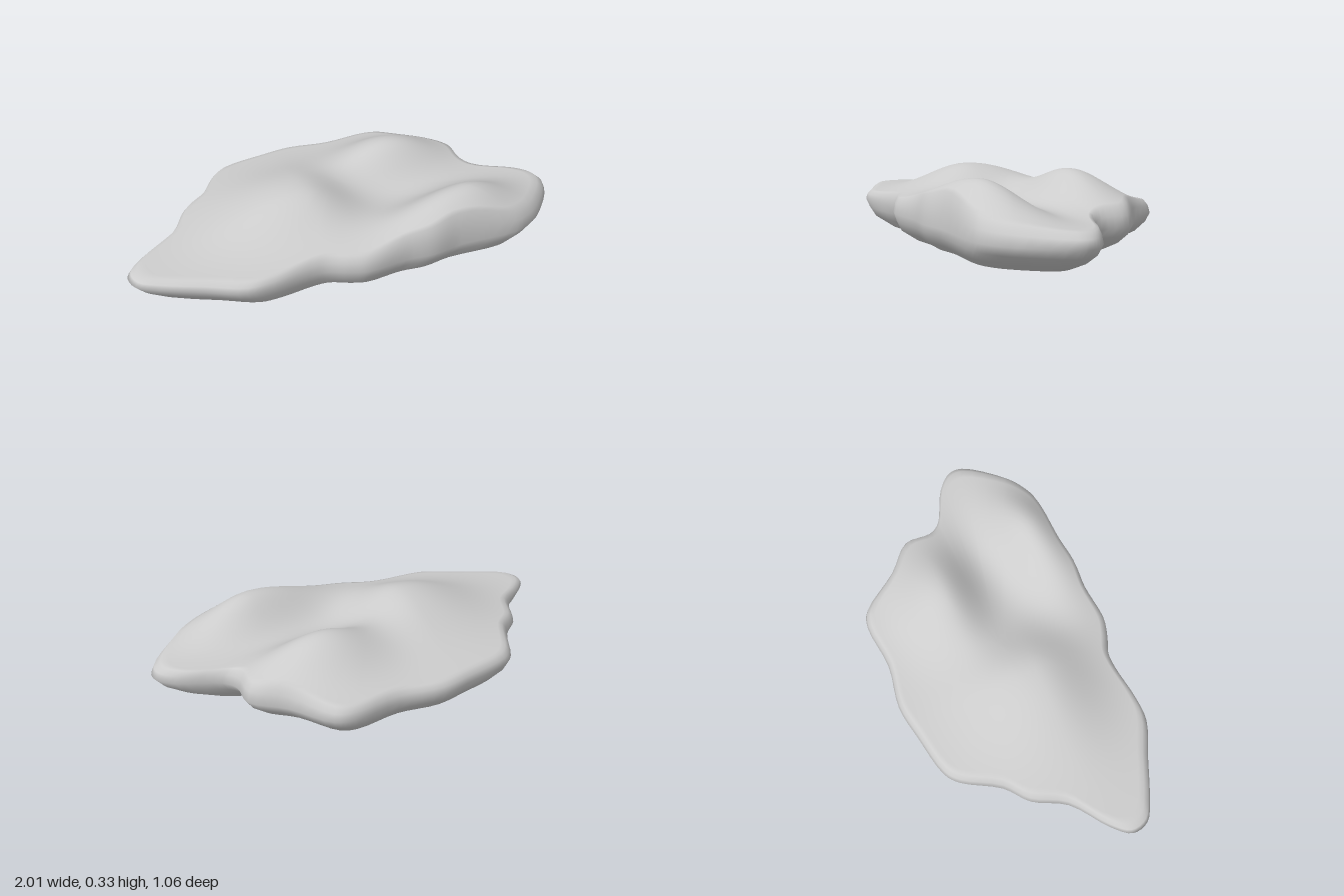
import * as THREE from 'three';

// Widest outline of the slab as x, z pairs: left tip, round the back, right tip, front
const OUTLINE = [
  [-1, 0.22], [-0.94, 0.14], [-0.78, 0.01], [-0.70, -0.14], [-0.60, -0.23], [-0.50, -0.40],
  [-0.44, -0.45], [-0.235, -0.5], [-0.07, -0.53], [0.14, -0.505], [0.36, -0.53], [0.44, -0.505],
  [0.57, -0.33], [0.70, -0.21], [0.705, -0.08], [0.75, -0.02], [0.935, 0.07], [1, 0.14],
  [1, 0.21], [0.86, 0.39], [0.78, 0.45], [0.69, 0.485], [0.41, 0.49], [0.27, 0.515],
  [0.14, 0.51], [-0.04, 0.53], [-0.12, 0.51], [-0.21, 0.475], [-0.29, 0.475], [-0.45, 0.5],
  [-0.56, 0.5], [-0.72, 0.43], [-0.89, 0.355], [-0.98, 0.30],
];
const SEGMENTS = 136;

// Lower rings as x scale, z scale, z shift, height: the tips undercut more than the sides
const LOWER_RINGS = [
  [0.78, 0.79, 0.012, 0], [0.9, 0.93, 0.005, 0.045], [0.965, 0.975, 0, 0.085], [1, 1, 0, 0.125],
];

// A mound with a different spread on each side of its peak
function mound(dx, dz, height, left, right, back, front) {
  const u = dx / (dx < 0 ? left : right);
  const v = dz / (dz < 0 ? back : front);
  return height * Math.exp(-(u * u + v * v) / 2);
}

// Height of the upper surface: two rear mounds and a front ridge
function topHeight(x, z) {
  const ridgeZ = 0.355 - 0.15 * (x - 0.47);
  return 0.166 + 0.012 * x
    + mound(x + 0.2, z - 0.1, 0.154, 0.27, 0.17, 0.25, 0.18)
    + mound(x - 0.32, z + 0.15, 0.161, 0.2, 0.21, 0.15, 0.12)
    + mound(x - 0.47, z - ridgeZ, 0.16, 0.28, 0.2, 0.115, 0.12);
}

function buildGeometry(positions, indices) {
  const geometry = new THREE.BufferGeometry();
  geometry.setAttribute('position', new THREE.Float32BufferAttribute(positions, 3));
  geometry.setIndex(indices);
  geometry.computeVertexNormals();
  return geometry;
}

export function createModel() {
  const group = new THREE.Group();
  group.name = 'rockSlab';
  const stone = new THREE.MeshStandardMaterial({ color: 0xcccccc });
  stone.name = 'grey stone';

  const curve = new THREE.CatmullRomCurve3(
    OUTLINE.map(([x, z]) => new THREE.Vector3(x, 0, z)), true, 'centripetal');
  const edge = [];
  for (let i = 0; i < SEGMENTS; i++) edge.push(curve.getPoint(i / SEGMENTS));

  // Rings from the foot, round the rim and in across the top
  const rings = LOWER_RINGS.map(([sx, sz, shift, y]) =>
    edge.map((p) => [p.x * sx, y, p.z * sz + shift]));
  const addTopRing = (scale, blend) => rings.push(edge.map((p) => {
    const x = p.x * scale;
    const z = p.z * scale;
    return [x, THREE.MathUtils.lerp(0.125, topHeight(x, z), blend), z];
  }));
  addTopRing(0.985, 0.6);
  addTopRing(0.955, 1);
  for (let s = 0.92; s > 0.03; s -= 0.04) addTopRing(s, 1);

  const positions = rings.flat(2);
  const indices = [];
  for (let r = 1; r < rings.length; r++) {
    const a = (r - 1) * SEGMENTS;
    const b = r * SEGMENTS;
    for (let i = 0; i < SEGMENTS; i++) {
      const j = (i + 1) % SEGMENTS;
      indices.push(a + i, b + i, a + j, a + j, b + i, b + j);
    }
  }

  // Close the middle of the top
  const last = (rings.length - 1) * SEGMENTS;
  const centre = positions.length / 3;
  positions.push(0, topHeight(0, 0), 0);
  for (let i = 0; i < SEGMENTS; i++) {
    indices.push(last + i, centre, last + (i + 1) % SEGMENTS);
  }
  const body = new THREE.Mesh(buildGeometry(positions, indices), stone);
  body.name = 'rockBody';

  // Flat underside with its own normals, so the foot stays sharp
  const baseIndices = [];
  for (let i = 0; i < SEGMENTS; i++) baseIndices.push(0, 1 + i, 1 + (i + 1) % SEGMENTS);
  const base = new THREE.Mesh(
    buildGeometry([0, 0, 0, ...rings[0].flat()], baseIndices), stone);
  base.name = 'flatBase';

  group.add(body, base);
  return group;
}
